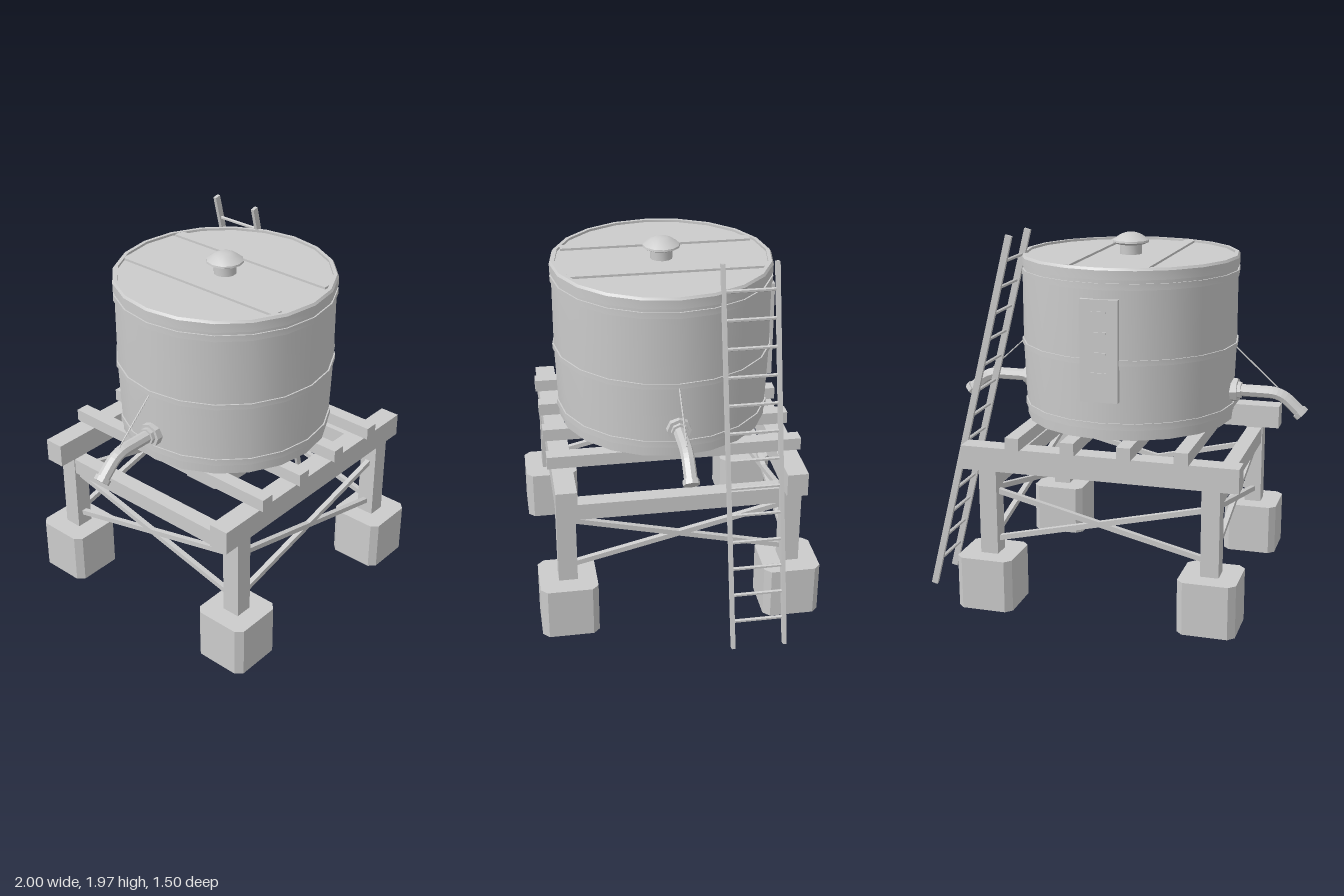
import * as THREE from 'three';
import { toCreasedNormals } from 'three/addons/utils/BufferGeometryUtils.js';

const smooth = new THREE.MeshStandardMaterial({ color: 0xcccccc });
const flat = new THREE.MeshStandardMaterial({ color: 0xcccccc, flatShading: true });

function add(parent, name, geometry, x = 0, y = 0, z = 0, material = flat) {
  const mesh = new THREE.Mesh(geometry, material);
  mesh.name = name;
  mesh.position.set(x, y, z);
  parent.add(mesh);
  return mesh;
}

function box(parent, name, w, h, d, x, y, z) {
  return add(parent, name, new THREE.BoxGeometry(w, h, d), x, y, z);
}

// Turned part from [radius, height] pairs, listed bottom to top along its outside
function lathe(parent, name, profile, sides, crease = 0.5) {
  const points = profile.map(([r, y]) => new THREE.Vector2(r, y));
  return add(parent, name, toCreasedNormals(new THREE.LatheGeometry(points, sides), crease), 0, 0, 0, smooth);
}

// Straight bar between two points
function bar(parent, name, a, b, geometryFor) {
  const from = new THREE.Vector3(...a), to = new THREE.Vector3(...b);
  const mesh = add(parent, name, geometryFor(from.distanceTo(to)));
  mesh.position.copy(from).add(to).multiplyScalar(0.5);
  mesh.quaternion.setFromUnitVectors(new THREE.Vector3(0, 1, 0), to.sub(from).normalize());
  return mesh;
}

// Block with chamfered vertical corners
function footingGeometry(size, height, cut) {
  const h = size / 2, k = h - cut;
  const corners = [[h, -k], [h, k], [k, h], [-k, h], [-h, k], [-h, -k], [-k, -h], [k, -h]];
  const shape = new THREE.Shape(corners.map(([x, y]) => new THREE.Vector2(x, y)));
  return new THREE.ExtrudeGeometry(shape, { depth: height, bevelEnabled: false }).rotateX(-Math.PI / 2);
}

function createStand() {
  const stand = new THREE.Group();
  stand.name = 'stand';
  const footing = footingGeometry(0.305, 0.285, 0.034);
  for (const sx of [-1, 1]) {
    for (const sz of [-1, 1]) {
      add(stand, 'footing', footing, sx * 0.6, 0, sz * 0.6);
      box(stand, 'leg', 0.096, 0.465, 0.1, sx * 0.6, 0.517, sz * 0.6);
    }
    box(stand, 'sideBeam', 0.085, 0.09, 1.1, sx * 0.6, 0.697, 0);
  }
  for (const sz of [-1, 1]) box(stand, 'mainBeam', 1.486, 0.129, 0.11, 0, 0.8125, sz * 0.6);
  for (const x of [-0.45, -0.15, 0.15, 0.45]) box(stand, 'joist', 0.074, 0.068, 1.352, x, 0.911, 0);

  // Crossed braces on all four sides
  const brace = (length) => new THREE.BoxGeometry(0.028, length, 0.028);
  for (const side of [-1, 1]) {
    for (const dir of [-1, 1]) {
      bar(stand, 'brace', [-0.56, 0.495 + dir * 0.133, side * 0.6], [0.56, 0.495 - dir * 0.133, side * 0.6], brace);
      bar(stand, 'brace', [side * 0.6, 0.495 + dir * 0.133, -0.56], [side * 0.6, 0.495 - dir * 0.133, 0.56], brace);
    }
  }
  return stand;
}

function createTank() {
  const tank = new THREE.Group();
  tank.name = 'tank';
  lathe(tank, 'body', [[0, 0.945], [0.568, 0.945], [0.584, 1.35], [0.584, 1.825], [0, 1.825]], 20);

  // Hoops around the body: bottom, top, inner radius, outer radius
  const hoops = [[1.0, 1.035, 0.56, 0.579], [1.342, 1.37, 0.575, 0.592], [1.727, 1.76, 0.575, 0.592]];
  for (const [y0, y1, r0, r1] of hoops) {
    lathe(tank, 'hoop', [[r0, y0], [r1, y0], [r1, y1], [r0, y1]], 20);
  }
  lathe(tank, 'rim', [[0.575, 1.778], [0.592, 1.778], [0.592, 1.825], [0.583, 1.838], [0.563, 1.838], [0.563, 1.82]], 20);

  // Lid straps and vent
  for (const sx of [-1, 1]) box(tank, 'lidStrap', 0.058, 0.03, 1.035, sx * 0.205, 1.822, 0);
  lathe(tank, 'ventNeck', [[0.06, 1.82], [0.06, 1.885]], 12, 0.6);
  lathe(tank, 'ventCap', [[0, 1.878], [0.075, 1.878], [0.1, 1.89], [0.098, 1.9], [0.06, 1.927], [0.032, 1.938], [0, 1.938]], 12, 0.6);

  // Gauge board on the back
  box(tank, 'gaugeBoard', 0.2, 0.53, 0.06, 0, 1.415, -0.567);
  for (let i = 0; i < 4; i++) box(tank, 'gaugeMark', 0.08, 0.01, 0.012, 0, 1.615 - i * 0.105, -0.597);
  return tank;
}

function createSpout() {
  const spout = new THREE.Group();
  spout.name = 'spout';
  const axisX = (r, length) => new THREE.CylinderGeometry(r, r, length, 8).rotateZ(-Math.PI / 2);
  add(spout, 'wallFlange', axisX(0.064, 0.06), 0.572, 1.11, 0);
  add(spout, 'collar', axisX(0.046, 0.03), 0.607, 1.11, 0);

  // Pipe: straight run, elbow, sloping end
  const path = new THREE.CurvePath();
  const p = (x, y) => new THREE.Vector3(x, y, 0);
  path.add(new THREE.LineCurve3(p(0.56, 1.11), p(0.77, 1.11)));
  path.add(new THREE.QuadraticBezierCurve3(p(0.77, 1.11), p(0.835, 1.11), p(0.88, 1.068)));
  path.add(new THREE.LineCurve3(p(0.88, 1.068), p(0.945, 1.007)));
  add(spout, 'pipe', new THREE.TubeGeometry(path, 18, 0.034, 8, false));
  bar(spout, 'mouthFlange', [0.934, 1.017, 0], [0.954, 0.998, 0], (l) => new THREE.CylinderGeometry(0.043, 0.043, l, 8));

  // Stay rod from the middle hoop to the pipe
  bar(spout, 'stayRod', [0.585, 1.35, 0], [0.815, 1.14, 0], (l) => new THREE.CylinderGeometry(0.004, 0.004, l, 6));
  return spout;
}

function createLadder() {
  const ladder = new THREE.Group();
  ladder.name = 'ladder';
  const xAt = (y) => 0.98 - y * 0.2515;
  for (const z of [-0.225, -0.5]) {
    bar(ladder, 'rail', [xAt(0.005), 0.005, z], [xAt(1.967), 1.967, z], (l) => new THREE.BoxGeometry(0.035, l, 0.02));
  }
  for (let i = 0; i < 13; i++) {
    const y = 0.15 + i * 0.1402;
    bar(ladder, 'rung', [xAt(y), y, -0.225], [xAt(y), y, -0.5], (l) => new THREE.CylinderGeometry(0.01, 0.01, l, 6));
  }
  return ladder;
}

export function createModel() {
  const model = new THREE.Group();
  model.name = 'waterTank';

  // Tank and stand share one axis; the ladder leans on the left side
  const main = new THREE.Group();
  main.name = 'tankOnStand';
  main.position.x = -0.018;
  const rightSpout = createSpout();
  rightSpout.rotation.y = Math.PI;
  main.add(createStand(), createTank(), createSpout(), rightSpout);

  model.add(main, createLadder());
  return model;
}
